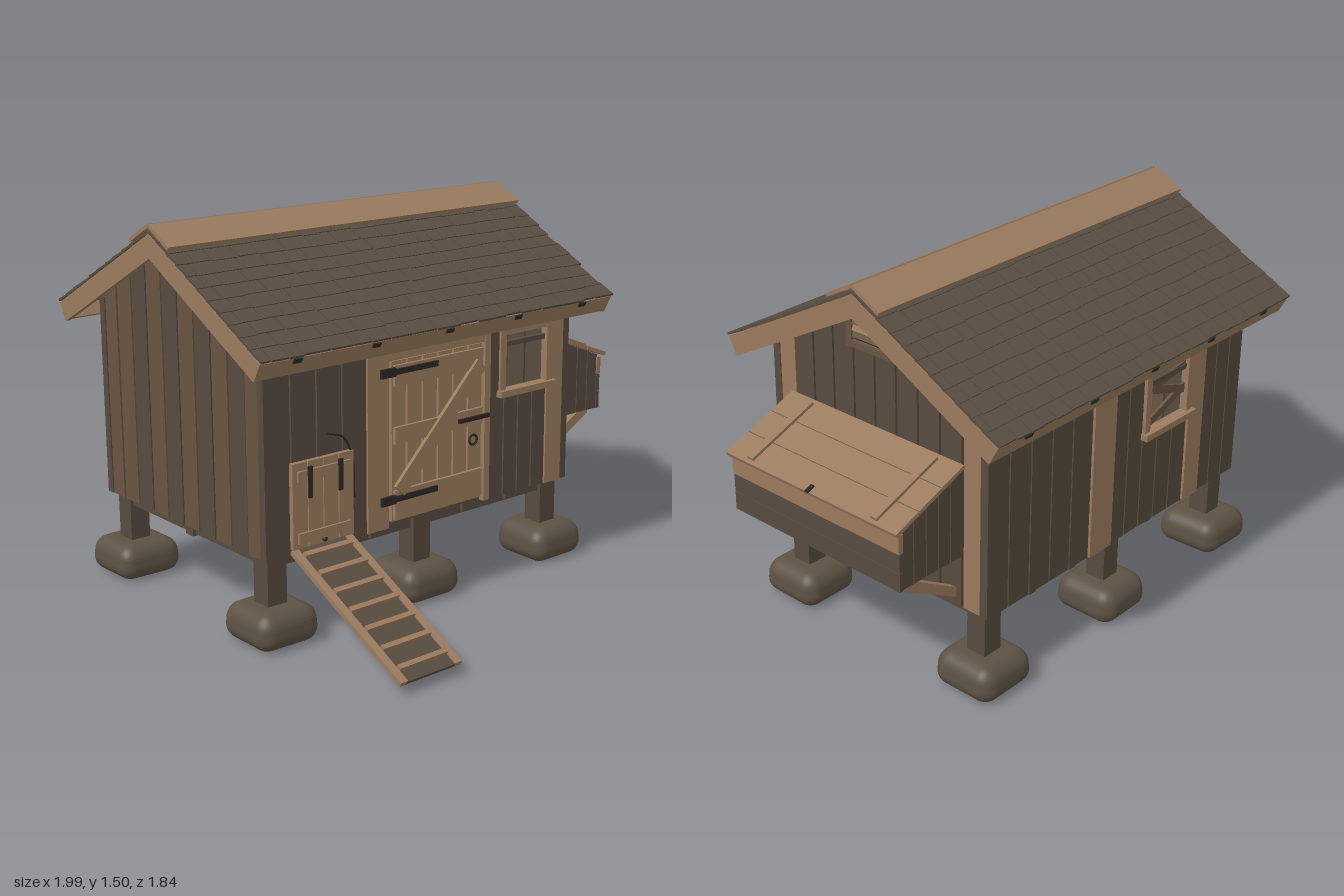
import * as THREE from 'three';
import { RoundedBoxGeometry } from 'three/addons/geometries/RoundedBoxGeometry.js';
import { mergeGeometries } from 'three/addons/utils/BufferGeometryUtils.js';

const mat = (name, color) => Object.assign(new THREE.MeshStandardMaterial({ color }), { name });
const LIGHT = mat('lightWood', 0x9a7b5e);
const DARK = mat('darkWood', 0x574b3e);
const MID = mat('brownWood', 0x685441);
const ROOF = mat('shingle', 0x594d42);
const STONE = mat('stone', 0x5c5244);
const IRON = mat('iron', 0x2b2723);

let seed = 7;
const rand = () => (seed = (seed * 16807) % 2147483647) / 2147483647;

const RIDGE_Z = -0.235, RIDGE_Y = 1.475, PITCH = 0.49;
const underRoof = z => RIDGE_Y - 0.04 - Math.tan(PITCH) * Math.abs(z - RIDGE_Z);

function add(parent, name, geo, material) {
  const m = new THREE.Mesh(geo, material);
  m.name = name;
  parent.add(m);
  return m;
}
// Box from its limits on each axis
function box(parent, name, material, x0, x1, y0, y1, z0, z1) {
  const m = add(parent, name, new THREE.BoxGeometry(x1 - x0, y1 - y0, z1 - z0), material);
  m.position.set((x0 + x1) / 2, (y0 + y1) / 2, (z0 + z1) / 2);
  return m;
}
// Outline in (a, y), extruded by depth
function prism(points, depth) {
  const shape = new THREE.Shape(points.map(p => new THREE.Vector2(...p)));
  return new THREE.ExtrudeGeometry(shape, { depth, bevelEnabled: false });
}
function group(parent, name, x, y, z) {
  const g = new THREE.Group();
  g.name = name;
  g.position.set(x, y, z);
  parent.add(g);
  return g;
}
// Row of upright boards along x with narrow gaps
function boards(parent, name, material, x0, x1, n, y0, y1, z0, z1, gap = 0.007) {
  const w = (x1 - x0) / n;
  for (let i = 0; i < n; i++)
    box(parent, name, material, x0 + i * w + gap / 2, x0 + (i + 1) * w - gap / 2, y0, y1, z0, z1);
}

function buildFoundation(g) {
  for (const x of [-0.82, -0.12, 0.578]) for (const z of [0.23, -0.7]) {
    box(g, 'post', DARK, x - 0.043, x + 0.043, 0.1, 0.33, z - 0.043, z + 0.043);
    const geo = new RoundedBoxGeometry(0.27, 0.145, 0.275, 5, 0.06);
    const p = geo.attributes.position, k = rand() * 6;
    for (let i = 0; i < p.count; i++) {
      const a = p.getX(i), b = p.getY(i), c = p.getZ(i);
      const s = 1 + 0.04 * Math.sin(a * 14 + k) * Math.cos(c * 12 + k) - b * 0.5;
      p.setXYZ(i, a * s, b, c * s);
    }
    geo.computeVertexNormals();
    add(g, 'footStone', geo, STONE).position.set(x, 0.073, z);
  }
  // Floor frame and floor boards
  for (const z of [0.23, -0.235, -0.7]) box(g, 'floorBeam', DARK, -0.86, 0.62, 0.285, 0.335, z - 0.025, z + 0.025);
  for (let i = 0; i < 7; i++) {
    const x = -0.83 + i * 0.237;
    box(g, 'joist', DARK, x - 0.018, x + 0.018, 0.292, 0.335, -0.74, 0.27);
  }
  for (let i = 0; i < 10; i++) {
    const z = -0.76 + i * 0.105;
    box(g, 'floorBoard', DARK, -0.87, 0.63, 0.336, 0.35, z, z + 0.1);
  }
}

function buildWalls(g) {
  const Y0 = 0.333, Y1 = 1.14, F0 = 0.283, F1 = 0.305, B0 = -0.775, B1 = -0.753;
  // Front wall
  boards(g, 'frontBoard', DARK, -0.89, -0.42, 4, Y0, Y1, F0, F1);
  boards(g, 'frontBoard', DARK, 0.205, 0.52, 4, Y0, 0.76, F0, F1);
  box(g, 'frontHeader', DARK, -0.42, 0.52, 1.02, Y1, F0, F1);
  box(g, 'frontTrim', LIGHT, 0.52, 0.61, Y0, Y1, F0, 0.31);
  box(g, 'doorJamb', LIGHT, -0.42, -0.318, Y0, Y1, F0, 0.31);
  box(g, 'doorJamb', LIGHT, 0.175, 0.205, Y0, Y1, F0, 0.31);
  box(g, 'doorLintel', LIGHT, -0.318, 0.175, 0.985, 1.05, F0, 0.308);
  box(g, 'frontBoard', DARK, 0.205, 0.255, 0.76, 1.03, F0, F1);
  // Back wall around its window
  boards(g, 'backBoard', DARK, 0.07, 0.65, 5, Y0, Y1, B0, B1);
  boards(g, 'backBoard', DARK, -0.24, -0.06, 2, Y0, Y1, B0, B1);
  boards(g, 'backBoard', DARK, -0.53, -0.24, 3, Y0, 0.74, B0, B1);
  boards(g, 'backBoard', DARK, -0.89, -0.63, 3, Y0, Y1, B0, B1);
  box(g, 'backHeader', DARK, -0.53, -0.24, 1.0, Y1, B0, B1);
  box(g, 'backTrim', LIGHT, -0.06, 0.07, Y0, Y1, -0.783, B1);
  box(g, 'backTrim', LIGHT, -0.63, -0.53, Y0, Y1, -0.783, B1);
  // Gable walls, cut to the roof line
  for (const [x, corner, alt] of [[0.615, LIGHT, DARK], [-0.885, MID, MID]]) {
    const edges = [[0.27, 0.19, corner], [-0.66, -0.74, corner]];
    for (let i = 0; i < 8; i++) edges.push([0.187 - i * 0.1055, 0.091 - i * 0.1055, i % 2 ? alt : DARK]);
    for (const [z1, z0, m] of edges) {
      const pts = [[-z1, Y0], [-z0, Y0], [-z0, underRoof(z0)], [-z1, underRoof(z1)]];
      if (z0 < RIDGE_Z && z1 > RIDGE_Z) pts.splice(3, 0, [-RIDGE_Z, underRoof(RIDGE_Z)]);
      const board = add(g, m === corner ? 'gableTrim' : 'gableBoard', prism(pts, 0.03), m);
      board.rotation.y = Math.PI / 2;
      board.position.x = x;
    }
  }
  for (const x of [0.612, -0.89]) for (const z of [0.27, -0.775])
    box(g, 'cornerPost', DARK, x, x + 0.036, Y0, 1.14, z, z + 0.035);
}

function buildWindow(g, name, x, y, z, w, h, facing) {
  const win = group(g, name, x, y, z);
  if (facing < 0) win.rotation.y = Math.PI;
  const a = w / 2, b = h / 2;
  for (const s of [-1, 1]) box(win, 'windowFrame', LIGHT, s * (a - 0.016) - 0.016, s * (a - 0.016) + 0.016, -b, b, -0.02, 0.012);
  box(win, 'windowSill', LIGHT, -a - 0.01, a + 0.01, -b - 0.012, -b + 0.014, -0.02, 0.03);
  box(win, 'windowHead', LIGHT, -a, a, b - 0.025, b, -0.02, 0.01);
  box(win, 'windowBar', DARK, -a, a, b - 0.075, b - 0.055, -0.02, 0);
  return win;
}

function buildVent(g, x) {
  const vent = group(g, 'gableVent', x, 0, RIDGE_Z);
  for (const s of [-1, 1]) box(vent, 'ventSide', MID, -0.01, 0.012, 1.21, 1.34, s * 0.115 - 0.013, s * 0.115 + 0.013);
  box(vent, 'ventSill', MID, -0.01, 0.014, 1.21, 1.235, -0.128, 0.128);
  for (let i = 0; i < 4; i++) {
    const slat = box(vent, 'ventSlat', i % 2 ? LIGHT : MID, -0.004, 0.006, 1.245 + i * 0.025, 1.266 + i * 0.025, -0.102, 0.102);
    slat.rotation.z = 0.4;
  }
  box(vent, 'ventBack', IRON, -0.01, -0.004, 1.235, 1.35, -0.102, 0.102);
}

function buildDoor(g) {
  const d = group(g, 'door', 0, 0, 0.28);
  boards(d, 'doorBoard', LIGHT, -0.3, 0.17, 6, 0.35, 0.98, 0, 0.02, 0.009);
  for (const [y0, y1] of [[0.36, 0.475], [0.66, 0.725], [0.885, 0.965]])
    box(d, 'doorLedge', LIGHT, -0.29, 0.16, y0, y1, 0.02, 0.034);
  const brace = box(d, 'doorBrace', LIGHT, -0.3, 0.3, -0.03, 0.03, 0.03, 0.046);
  brace.position.set(-0.065, 0.69, 0.038);
  brace.rotation.z = 0.8;
  for (const y of [0.445, 0.943]) {
    box(d, 'strapHinge', IRON, -0.31, -0.08, y - 0.011, y + 0.011, 0.034, 0.042);
    box(d, 'hingePlate', IRON, -0.36, -0.29, y - 0.017, y + 0.017, 0.028, 0.042);
  }
  box(d, 'latch', IRON, 0.03, 0.19, 0.682, 0.698, 0.034, 0.045);
  add(d, 'pullRing', new THREE.TorusGeometry(0.02, 0.005, 6, 16), IRON).position.set(0.11, 0.602, 0.035);
}

function buildHatch(g) {
  const h = group(g, 'hatch', -0.642, 0, 0.305);
  boards(h, 'hatchBoard', LIGHT, -0.142, 0.142, 4, 0.36, 0.685, 0, 0.02, 0.004);
  box(h, 'hatchLedge', LIGHT, -0.12, 0.12, 0.615, 0.655, 0.02, 0.03);
  box(h, 'hatchLedge', LIGHT, -0.12, 0.12, 0.38, 0.42, 0.02, 0.03);
  for (const x of [-0.07, 0.07]) box(h, 'hatchHinge', IRON, x - 0.009, x + 0.009, 0.55, 0.67, 0.03, 0.037);
  add(h, 'hatchKnob', new THREE.SphereGeometry(0.01, 10, 8), IRON).position.set(0, 0.375, 0.025);
  const path = new THREE.CatmullRomCurve3([[0.02, 0.77], [0.1, 0.74], [0.14, 0.66], [0.15, 0.5]].map(p => new THREE.Vector3(...p, 0.012)));
  add(h, 'rope', new THREE.TubeGeometry(path, 16, 0.004, 6), IRON);
  // Ramp with rungs
  const r = group(g, 'ramp', -0.642, 0.353, 0.31);
  r.rotation.x = 0.464;
  box(r, 'rampPanel', DARK, -0.115, 0.115, -0.012, 0, 0, 0.68);
  for (const s of [-1, 1]) box(r, 'rampRail', LIGHT, s * 0.125 - 0.016, s * 0.125 + 0.016, -0.014, 0.004, 0, 0.68);
  for (let i = 0; i < 7; i++) box(r, 'rampRung', LIGHT, -0.11, 0.11, 0, 0.016, 0.03 + i * 0.097, 0.05 + i * 0.097);
}

function buildNestBox(g) {
  const n = group(g, 'nestBox', 0, 0, 0);
  const lidY = x => 0.905 - 0.39 * (x - 0.65);
  for (const z of [0.17, -0.655]) for (let i = 0; i < 5; i++) {
    const a = 0.648 + i * 0.062, b = a + 0.058;
    add(n, 'nestSideBoard', prism([[a, 0.55], [b, 0.55], [b, lidY(b)], [a, lidY(a)]], 0.015), DARK).position.z = z;
  }
  box(n, 'nestFloor', DARK, 0.645, 0.965, 0.55, 0.565, -0.65, 0.18);
  for (const y of [0.55, 0.626]) box(n, 'nestFrontBoard', DARK, 0.952, 0.968, y, y + 0.073, -0.66, 0.19);
  box(n, 'nestFrontRail', LIGHT, 0.95, 0.972, 0.702, 0.775, -0.66, 0.19);
  const lid = group(n, 'nestLid', 0.65, 0.91, RIDGE_Z);
  lid.rotation.z = -0.37;
  for (let i = 0; i < 3; i++) box(lid, 'lidBoard', LIGHT, i * 0.122, i * 0.122 + 0.118, 0, 0.016, -0.435, 0.435);
  for (const z of [-0.315, 0.315]) box(lid, 'lidBatten', LIGHT, 0.02, 0.345, 0.016, 0.028, z - 0.016, z + 0.016);
  box(lid, 'lidLatch', IRON, 0.33, 0.366, 0.016, 0.022, -0.008, 0.008);
  // Braces from the wall to the box
  for (const z of [0.14, -0.235, -0.61]) {
    const pts = [[0.645, 0.365], [0.935, 0.525], [0.935, 0.552], [0.895, 0.552], [0.645, 0.405]];
    add(n, 'nestBrace', prism(pts, 0.03), LIGHT).position.z = z - 0.015;
  }
}

// One slope in local space: x along the ridge, z down the slope
function buildSlope(g, name, turn) {
  const s = group(g, name, -0.12, RIDGE_Y, RIDGE_Z);
  s.rotation.set(PITCH, turn, 0, 'YXZ');
  const H = 0.873, L = 0.768;
  box(s, 'roofDeck', DARK, -H + 0.005, H - 0.005, -0.028, -0.01, 0, L - 0.01);
  const tiles = [];
  for (let row = 0; row < 11; row++) {
    for (let x = -H - rand() * 0.06; x < H;) {
      const w = 0.06 + rand() * 0.07, a = Math.max(x, -H), b = Math.min(x + w - 0.004, H);
      if (b - a > 0.01) {
        const t = new THREE.BoxGeometry(b - a, 0.009, 0.085);
        t.rotateX(-0.06 + rand() * 0.02);
        t.translate((a + b) / 2, 0, 0.035 + row * 0.0695 + rand() * 0.007 - 0.006);
        tiles.push(t);
      }
      x += w;
    }
  }
  add(s, 'shingles', mergeGeometries(tiles), ROOF);
  for (const k of [-1, 1]) box(s, 'bargeBoard', LIGHT, k * (H - 0.01) - 0.01, k * (H - 0.01) + 0.01, -0.088, -0.008, 0, L - 0.005);
  box(s, 'eaveBoard', LIGHT, -H, H, -0.083, -0.01, L - 0.022, L - 0.004);
  for (let i = 0; i < 5; i++) {
    const x = -0.71 + i * 0.354;
    box(s, 'eaveClip', IRON, x - 0.018, x + 0.018, -0.03, -0.012, L - 0.006, L + 0.002);
  }
  box(s, 'ridgeBoard', LIGHT, -H, H, 0.012, 0.026, -0.008, 0.135);
}

export function createModel() {
  const g = new THREE.Group();
  g.name = 'henHouse';
  buildFoundation(g);
  buildWalls(g);
  buildWindow(g, 'frontWindow', 0.4, 0.89, 0.303, 0.29, 0.26, 1);
  const back = buildWindow(g, 'backWindow', -0.39, 0.865, -0.775, 0.3, 0.27, -1);
  for (const [y, t] of [[-0.06, 0.35], [0.01, -0.3], [0.06, 0.15]]) {
    const slat = box(back, 'brokenSlat', MID, -0.13, 0.13, y - 0.016, y + 0.016, -0.016, -0.004);
    slat.rotation.z = t;
  }
  buildVent(g, 0.65);
  buildDoor(g);
  buildHatch(g);
  buildNestBox(g);
  buildSlope(g, 'frontRoof', 0);
  buildSlope(g, 'backRoof', Math.PI);
  return g;
}
